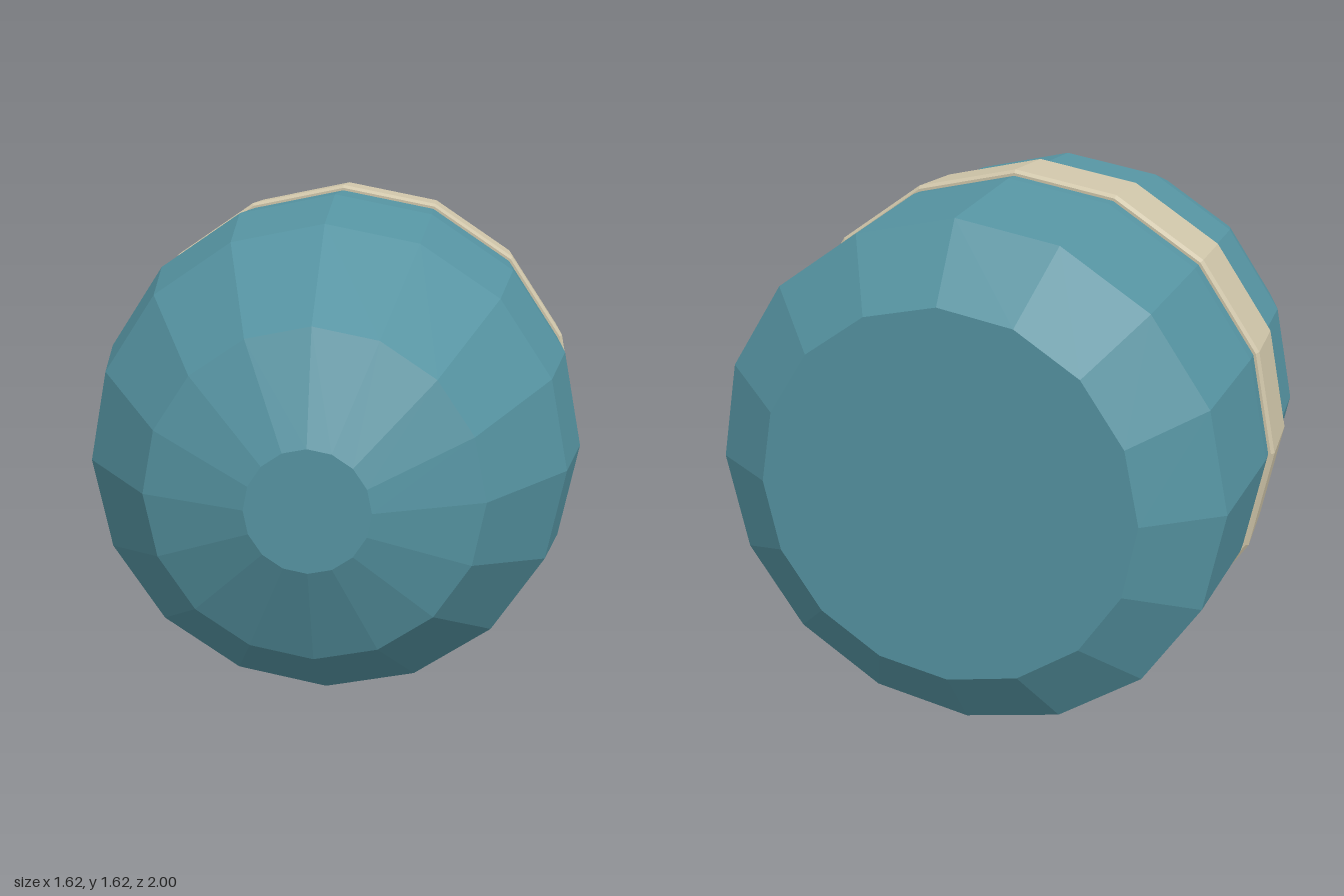
import * as THREE from 'three';

const SIDES = 16;
const AXIS_HEIGHT = 0.8125;

// Revolve a [radius, z] profile (listed back to front) around the z axis
function turned(name, profile, material) {
  const points = profile.map(([r, z]) => new THREE.Vector2(r, z));
  const geometry = new THREE.LatheGeometry(points, SIDES).toNonIndexed();
  geometry.rotateX(Math.PI / 2);
  geometry.computeVertexNormals();
  const mesh = new THREE.Mesh(geometry, material);
  mesh.name = name;
  mesh.position.y = AXIS_HEIGHT;
  return mesh;
}

export function createModel() {
  const teal = new THREE.MeshStandardMaterial({ color: 0x5593a1 });
  teal.name = 'teal';
  const sand = new THREE.MeshStandardMaterial({ color: 0xcfc5a9 });
  sand.name = 'sand';

  const model = new THREE.Group();
  model.name = 'bandedShell';

  // Faceted body: flat back with chamfer, straight middle, tapered blunt nose
  model.add(turned('body', [
    [0, -1], [0.545, -1], [0.752, -0.855], [0.795, -0.42],
    [0.795, 0.2], [0.725, 0.52], [0.478, 0.87], [0.173, 1], [0, 1],
  ], teal));

  // Raised band with slightly bevelled rims
  model.add(turned('band', [
    [0.78, -0.368], [0.803, -0.368], [0.8125, -0.357],
    [0.8125, -0.109], [0.803, -0.098], [0.78, -0.098],
  ], sand));

  return model;
}
